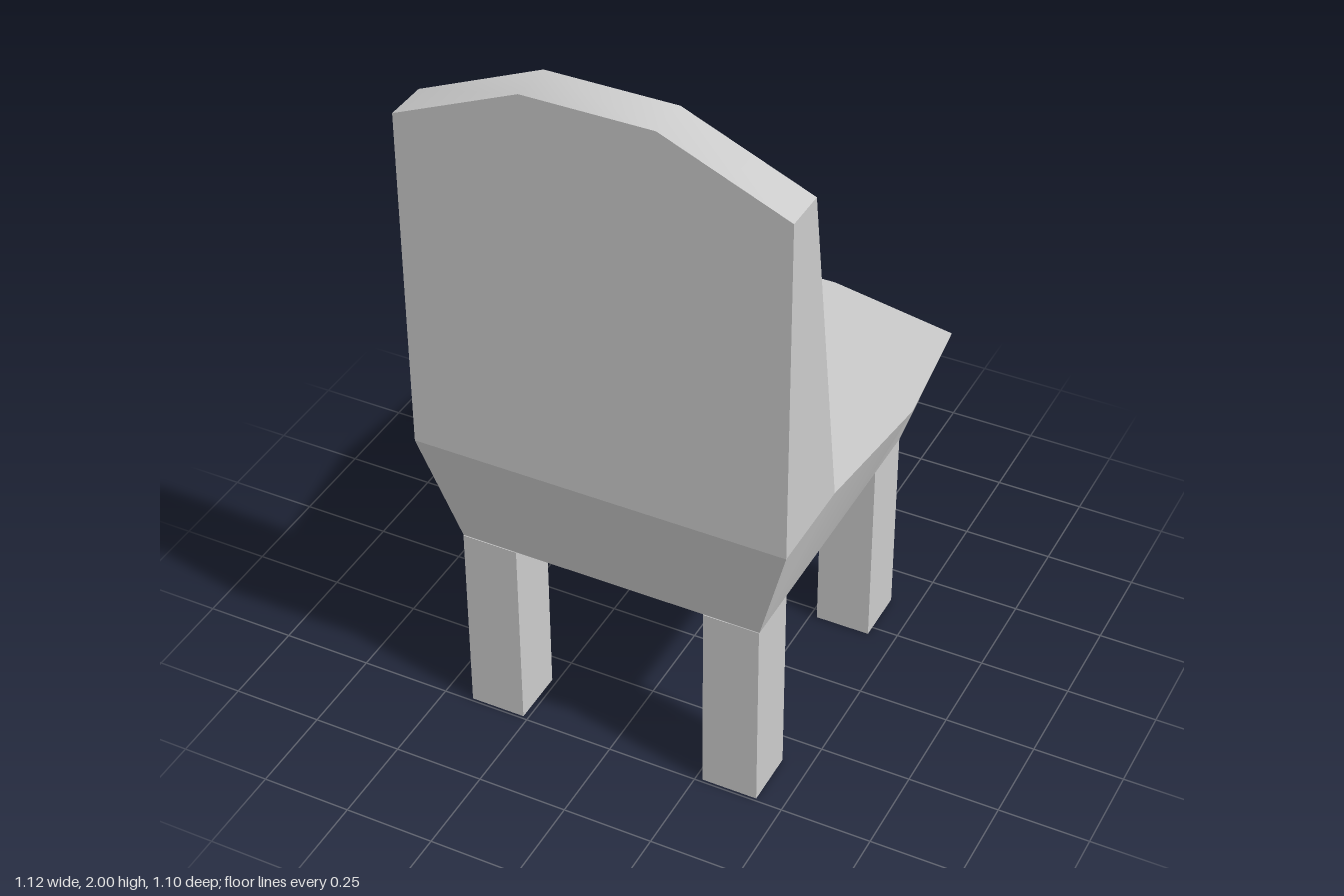
import * as THREE from 'three';
import { toCreasedNormals } from 'three/addons/utils/BufferGeometryUtils.js';

const SEAT_BOTTOM = 0.57, SEAT_TOP = 0.89;
const material = new THREE.MeshStandardMaterial({ color: 0xcccccc });

// Skins consecutive cross-sections and fills both ends. Rings run
// counter-clockwise when the loft comes towards the viewer.
function loft(rings, endCap = rings[rings.length - 1], closed = true) {
  const positions = [];
  const tri = (...pts) => pts.forEach((p) => positions.push(...p));
  const fan = (pts) => {
    for (let i = 1; i < pts.length - 1; i++) tri(pts[0], pts[i], pts[i + 1]);
  };
  for (let r = 0; r < rings.length - 1; r++) {
    const a = rings[r], b = rings[r + 1], n = a.length;
    for (let i = 0; i < (closed ? n : n - 1); i++) {
      const j = (i + 1) % n;
      fan([a[i], a[j], b[j], b[i]]);
    }
  }
  fan([...rings[0]].reverse());
  fan(endCap);
  const geometry = new THREE.BufferGeometry();
  geometry.setAttribute('position', new THREE.Float32BufferAttribute(positions, 3));
  return toCreasedNormals(geometry, Math.PI / 6);
}

function addPart(group, name, geometry) {
  const mesh = new THREE.Mesh(geometry, material);
  mesh.name = name;
  group.add(mesh);
  return mesh;
}

export function createModel() {
  const chair = new THREE.Group();
  chair.name = 'chair';

  // Seat: bowed outline on top tapering to a straight rectangle below
  const topOutline = [
    [0.52, 0.55], [0.52, 0.27], [0.56, -0.12], [0.52, -0.475], [0.15, -0.55],
    [-0.17, -0.55], [-0.51, -0.475], [-0.56, -0.12], [-0.51, 0.27], [-0.51, 0.55],
  ];
  const bottomOutline = [
    [0.425, 0.49], [0.425, 0.27], [0.425, -0.1], [0.425, -0.38], [0.14, -0.38],
    [-0.14, -0.38], [-0.42, -0.38], [-0.42, -0.1], [-0.42, 0.27], [-0.42, 0.49],
  ];
  const top = topOutline.map(([x, z]) => [x, SEAT_TOP, z]);
  const bottom = bottomOutline.map(([x, z]) => [x, SEAT_BOTTOM, z]);
  // The top surface stops where the backrest begins
  addPart(chair, 'seat', loft([bottom, top], top.slice(1, -1)));

  // Backrest: wedge profile swept across the width, with clipped top corners
  const columns = [[0.52, 1.855], [0.18, 2], [-0.17, 2], [-0.51, 1.855]];
  const sections = columns.map(([x, y]) => [
    [x, SEAT_TOP, 0.55], [x, y, 0.55], [x, y, 0.43], [x, SEAT_TOP, 0.27],
  ]);
  addPart(chair, 'backrest', loft(sections, undefined, false));

  // Four square legs flush with the seat's lower corners
  const legGeometry = new THREE.BoxGeometry(0.155, SEAT_BOTTOM, 0.16);
  for (const [zName, z] of [['back', 0.412], ['front', -0.3]]) {
    for (const [xName, x] of [['Left', 0.347], ['Right', -0.342]]) {
      addPart(chair, `${zName}${xName}Leg`, legGeometry).position.set(x, SEAT_BOTTOM / 2, z);
    }
  }
  return chair;
}
